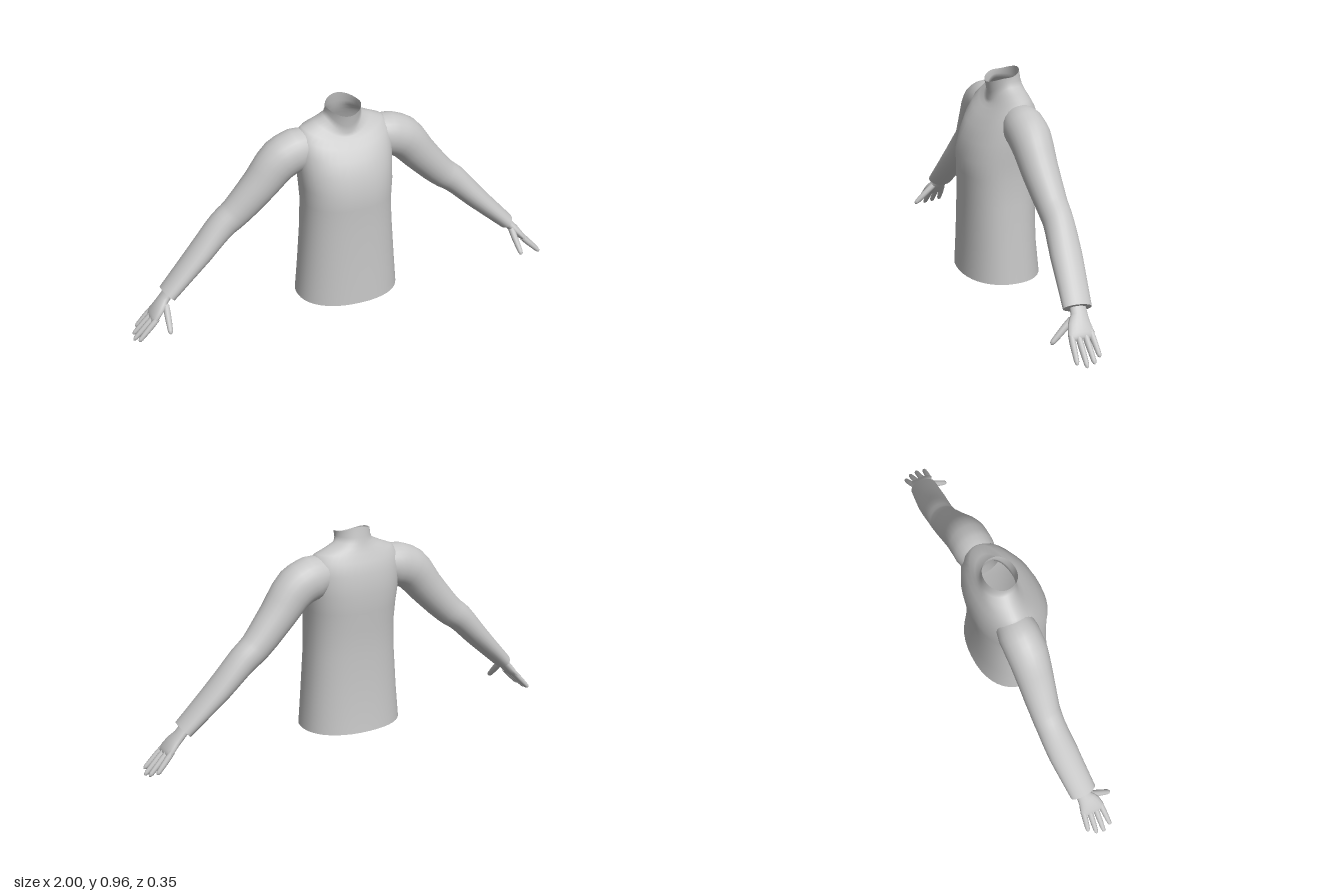
import * as THREE from 'three';

const material = new THREE.MeshStandardMaterial({ color: 0xc6c6c6, side: THREE.DoubleSide });
material.name = 'plain grey';
const V = (x, y, z) => new THREE.Vector3(x, y, z);

// Joins equal-sized rings of points into one smooth skin
function skin(name, rings) {
  const n = rings[0].length, index = [];
  for (let i = 0; i < rings.length - 1; i++) {
    for (let j = 0; j < n; j++) {
      const a = i * n + j, b = i * n + (j + 1) % n;
      index.push(a, b, b + n, a, b + n, a + n);
    }
  }
  const g = new THREE.BufferGeometry().setFromPoints(rings.flat());
  g.setIndex(index);
  g.computeVertexNormals();
  const mesh = new THREE.Mesh(g, material);
  mesh.name = name;
  return mesh;
}

// Elliptical rings along a path; each stop is [x, y, z, half thickness, half width]
function limbRings(stops, side, n, steps) {
  const path = new THREE.CatmullRomCurve3(stops.map(s => V(s[0] * side, s[1], s[2])));
  const rings = [], last = stops.length - 1;
  for (let i = 0; i <= last * steps; i++) {
    const k = Math.min(Math.floor(i / steps), last - 1), f = i / steps - k;
    const t = i / (last * steps), p = path.getPoint(t), dir = path.getTangent(t);
    const u = V(0, 0, 1).cross(dir).normalize(), v = dir.clone().cross(u);
    const a = THREE.MathUtils.lerp(stops[k][3], stops[k + 1][3], f);
    const b = THREE.MathUtils.lerp(stops[k][4], stops[k + 1][4], f);
    rings.push(Array.from({ length: n }, (_, j) => {
      const q = j / n * Math.PI * 2;
      return p.clone().addScaledVector(u, a * Math.cos(q)).addScaledVector(v, b * Math.sin(q));
    }));
  }
  return rings;
}

// Ring shrunk towards its centre
function shrink(ring, k) {
  const c = ring.reduce((s, p) => s.add(p), V(0, 0, 0)).divideScalar(ring.length);
  return ring.map(p => c.clone().lerp(p, k));
}

// Round-tipped digit from base to tip
function digit(name, base, tip, r, side) {
  const at = f => base.map((b, i) => b + (tip[i] - b) * f);
  const stops = [[0, 1], [0.3, 1.05], [0.6, 0.95], [0.88, 0.8], [0.96, 0.55], [1, 0.02]]
    .map(([f, k]) => [...at(f), r * k, r * k]);
  return skin(name, limbRings(stops, side, 10, 1));
}

function torso() {
  // side y, front y, back y, half width, side z, front z, back z, roundness
  const rows = [
    [0.05, 0.05, 0.05, 0.233, 0, 0.178, -0.175, 0.9],
    [0.2, 0.2, 0.2, 0.221, 0, 0.171, -0.159, 0.88],
    [0.4, 0.4, 0.4, 0.206, 0, 0.166, -0.154, 0.86],
    [0.52, 0.52, 0.52, 0.203, 0, 0.168, -0.16, 0.86],
    [0.6, 0.59, 0.6, 0.208, -0.005, 0.17, -0.166, 0.86],
    [0.68, 0.67, 0.68, 0.215, -0.02, 0.15, -0.171, 0.87],
    [0.77, 0.73, 0.77, 0.22, -0.035, 0.121, -0.163, 0.9],
    [0.83, 0.775, 0.82, 0.213, -0.04, 0.086, -0.143, 0.95],
    [0.858, 0.803, 0.855, 0.185, -0.042, 0.06, -0.127, 1],
    [0.88, 0.818, 0.875, 0.13, -0.04, 0.046, -0.118, 1],
    [0.9, 0.832, 0.895, 0.087, -0.035, 0.039, -0.112, 1],
    [0.92, 0.865, 0.92, 0.079, -0.03, 0.04, -0.105, 1],
    [0.942, 0.915, 0.965, 0.079, -0.025, 0.05, -0.098, 1],
  ];
  const n = 40;
  const rings = rows.map(([ys, yf, yb, w, zs, zf, zb, e]) => Array.from({ length: n }, (_, j) => {
    const q = j / n * Math.PI * 2, s = Math.sin(q), c = Math.cos(q);
    const bend = Math.pow(Math.abs(c), e);
    return V(Math.sign(s) * w * Math.pow(Math.abs(s), e),
      ys + ((c > 0 ? yf : yb) - ys) * c * c,
      zs + ((c > 0 ? zf : zb) - zs) * bend);
  }));
  const g = new THREE.Group();
  g.name = 'torso';
  g.add(skin('jumperBody', rings), skin('hemBase', [shrink(rings[0], 0), rings[0]]));
  return g;
}

function arm(side) {
  const g = new THREE.Group();
  g.name = side > 0 ? 'leftArm' : 'rightArm';

  // Sleeve with a turned-in cuff
  const rings = limbRings([
    [0.13, 0.77, -0.042, 0.075, 0.075],
    [0.21, 0.757, -0.042, 0.097, 0.09],
    [0.287, 0.725, -0.042, 0.095, 0.09],
    [0.378, 0.623, -0.046, 0.081, 0.08],
    [0.492, 0.502, -0.055, 0.068, 0.067],
    [0.555, 0.453, -0.056, 0.063, 0.065],
    [0.663, 0.343, -0.046, 0.052, 0.068],
    [0.827, 0.185, -0.025, 0.036, 0.061],
  ], side, 24, 3);
  const end = rings[rings.length - 1];
  g.add(skin('sleeve', rings), skin('cuffEdge', [end, shrink(end, 0.5)]));

  // Palm
  g.add(skin('palm', limbRings([
    [0.815, 0.197, -0.027, 0.022, 0.034],
    [0.845, 0.163, -0.025, 0.021, 0.036],
    [0.873, 0.132, -0.015, 0.021, 0.05],
    [0.897, 0.105, -0.012, 0.017, 0.057],
    [0.91, 0.091, -0.012, 0.011, 0.054],
    [0.915, 0.086, -0.012, 0.001, 0.04],
  ], side, 16, 2)));

  // Fingers and thumb
  [
    ['indexFinger', [0.893, 0.104, 0.031], [0.985, 0.014, 0.042]],
    ['middleFinger', [0.897, 0.103, 0.003], [0.999, 0.002, 0.004]],
    ['ringFinger', [0.897, 0.104, -0.026], [0.992, 0.009, -0.031]],
    ['littleFinger', [0.892, 0.109, -0.053], [0.97, 0.024, -0.063]],
  ].forEach(([name, base, tip]) => g.add(digit(name, base, tip, 0.0125, side)));
  g.add(digit('thumb', [0.845, 0.148, 0.008], [0.856, 0.057, 0.102], 0.0145, side));
  return g;
}

export function createModel() {
  const model = new THREE.Group();
  model.name = 'jumperTorso';
  model.add(torso(), arm(1), arm(-1));
  return model;
}
